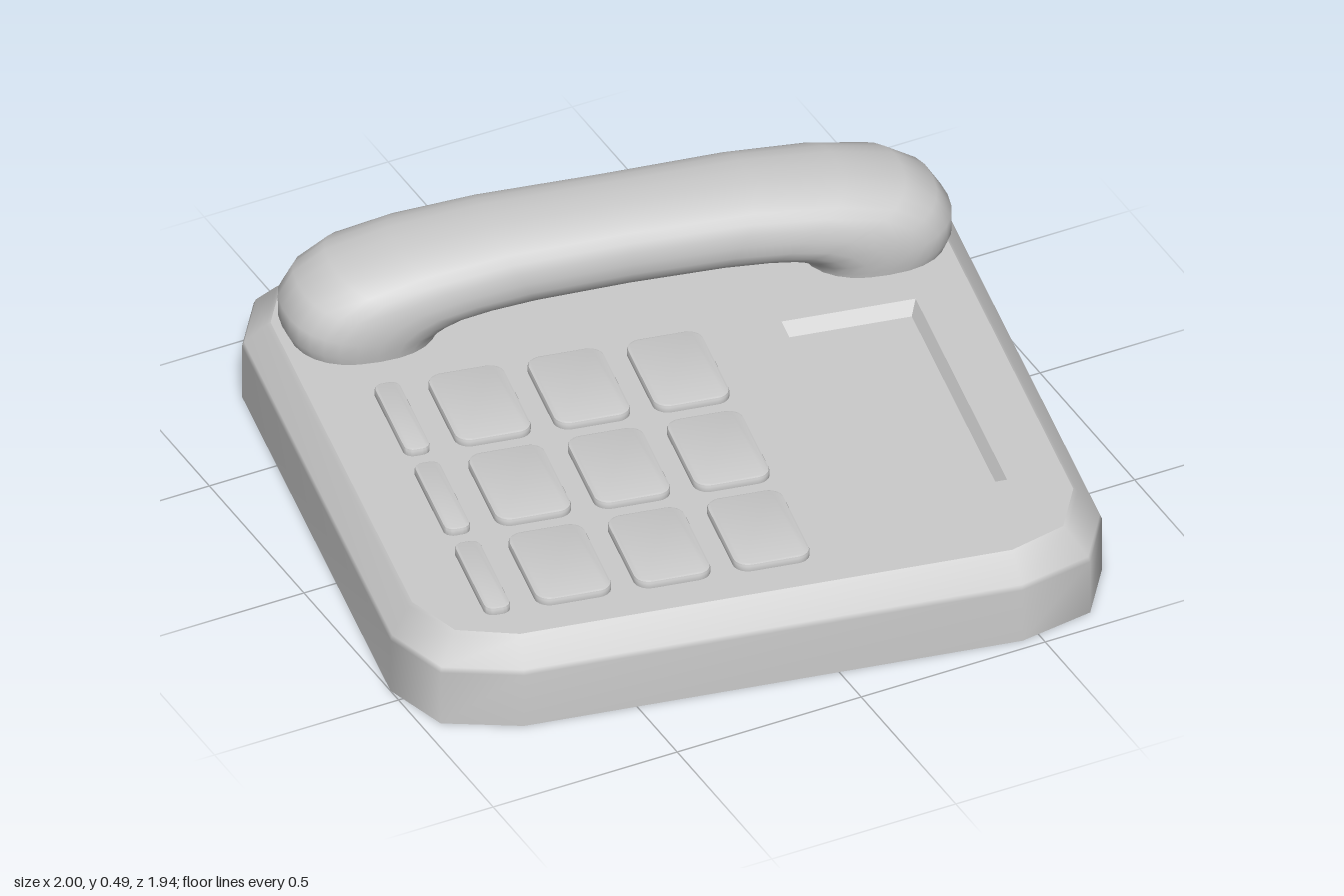
import * as THREE from 'three';
import { toCreasedNormals } from 'three/addons/utils/BufferGeometryUtils.js';

const material = new THREE.MeshStandardMaterial({ color: 0xcccccc, side: THREE.DoubleSide });
const TOP = 0.23;

// Skin over closed rings of [x, y, z] points
function loft(rings) {
  const n = rings[0].length, index = [];
  for (let i = 0; i < rings.length - 1; i++) {
    for (let j = 0; j < n; j++) {
      const k = (j + 1) % n, a = i * n, b = a + n;
      index.push(a + j, a + k, b + k, a + j, b + k, b + j);
    }
  }
  const geo = new THREE.BufferGeometry();
  geo.setAttribute('position', new THREE.Float32BufferAttribute(rings.flat(2), 3));
  geo.setIndex(index);
  geo.computeVertexNormals();
  return geo;
}

// Twelve-sided outline with softened corners, counter-clockwise in (x, -z)
function outline(corner) {
  const back = [...corner].reverse();
  return [
    ...corner,
    ...back.map(([x, y]) => [-x, y]),
    ...corner.map(([x, y]) => [-x, -y]),
    ...back.map(([x, y]) => [x, -y]),
  ];
}

const ring = (pts, y) => pts.map(([x, d]) => [x, y, -d]);
const shapeOf = (pts) => new THREE.Shape(pts.map(([x, y]) => new THREE.Vector2(x, y)));
const rect = (x0, x1, d0, d1) => [[x0, d0], [x1, d0], [x1, d1], [x0, d1]];

function roundedRect(w, d, r) {
  const s = new THREE.Shape(), x = w / 2 - r, y = d / 2 - r;
  s.absarc(x, y, r, 0, Math.PI / 2);
  s.absarc(-x, y, r, Math.PI / 2, Math.PI);
  s.absarc(-x, -y, r, Math.PI, Math.PI * 1.5);
  s.absarc(x, -y, r, Math.PI * 1.5, Math.PI * 2);
  return s;
}

function keyGeometry(w, d, r) {
  const bevel = 0.006;
  const geo = new THREE.ExtrudeGeometry(roundedRect(w - 2 * bevel, d - 2 * bevel, r), {
    depth: 0.022, bevelEnabled: true, bevelSize: bevel, bevelThickness: bevel,
    bevelSegments: 2, curveSegments: 4,
  });
  geo.rotateX(-Math.PI / 2);
  return toCreasedNormals(geo, 0.6);
}

// Handset half profile: outer x, outer y, inner x, inner y, half width
const handsetProfile = [
  [0.82, 0.222, 0.46, 0.222, 0.168],
  [0.838, 0.26, 0.455, 0.236, 0.174],
  [0.838, 0.315, 0.44, 0.25, 0.18],
  [0.80, 0.378, 0.41, 0.262, 0.182],
  [0.72, 0.43, 0.37, 0.27, 0.18],
  [0.56, 0.466, 0.31, 0.273, 0.174],
  [0.33, 0.488, 0.22, 0.273, 0.165],
  [0, 0.49, 0, 0.273, 0.158],
];

function handsetGeometry() {
  const left = handsetProfile.map(([ox, oy, ix, iy, h]) => [-ox, oy, -ix, iy, h]);
  const right = handsetProfile.slice(0, -1).reverse();
  const squarish = (v) => Math.sign(v) * Math.abs(v) ** 0.84;
  const rings = [...left, ...right].map(([ox, oy, ix, iy, h]) => {
    const cx = (ox + ix) / 2, cy = (oy + iy) / 2, pts = [];
    for (let j = 0; j < 28; j++) {
      const t = (j / 28) * Math.PI * 2, c = squarish(Math.cos(t)), s = squarish(Math.sin(t));
      pts.push([cx + (ox - cx) * c, cy + (oy - cy) * c, h * s]);
    }
    return pts;
  });
  return loft(rings);
}

export function createModel() {
  const model = new THREE.Group();
  model.name = 'deskTelephone';
  const phone = new THREE.Group();
  phone.name = 'turnedPhone';
  phone.rotation.y = -0.189;
  model.add(phone);

  const add = (name, geo, x = 0, y = 0, z = 0, parent = phone) => {
    const mesh = new THREE.Mesh(geo, material);
    mesh.name = name;
    mesh.position.set(x, y, z);
    parent.add(mesh);
    return mesh;
  };

  // Hollow base: upright walls, sloped rim, open underneath
  const outer = outline([[0.896, 0.637], [0.818, 0.801], [0.628, 0.868]]);
  const inner = outline([[0.833, 0.605], [0.766, 0.747], [0.62, 0.807]]);
  const between = (f) => outer.map(([x, d], i) =>
    [x + (inner[i][0] - x) * f, d + (inner[i][1] - d) * f]);
  add('baseShell', loft([
    ring(outer, 0), ring(outer, 0.15), ring(between(0.08), 0.163),
    ring(between(0.85), 0.222), ring(inner, TOP),
  ]));

  // Top panel with an opening for the card window
  const rim = rect(0.352, 0.69, -0.524, 0.26);
  const panel = shapeOf(inner);
  panel.holes.push(shapeOf(rim));
  add('topPanel', new THREE.ShapeGeometry(panel).rotateX(-Math.PI / 2), 0, TOP);

  // Sunken card window
  const sunk = rect(0.362, 0.672, -0.508, 0.232);
  const floorY = TOP - 0.03;
  const windowGroup = new THREE.Group();
  windowGroup.name = 'cardWindow';
  phone.add(windowGroup);
  add('windowWalls', toCreasedNormals(loft([ring(rim, TOP), ring(sunk, floorY)]), 0.3),
    0, 0, 0, windowGroup);
  add('windowFloor', new THREE.ShapeGeometry(shapeOf(sunk)).rotateX(-Math.PI / 2),
    0, floorY, 0, windowGroup);

  // Keypad: three rows of three keys plus a narrow side key
  const keypad = new THREE.Group();
  keypad.name = 'keypad';
  phone.add(keypad);
  const wideKey = keyGeometry(0.192, 0.29, 0.032);
  const narrowKey = keyGeometry(0.066, 0.29, 0.018);
  for (let row = 0; row < 3; row++) {
    const z = -0.118 + row * 0.344;
    add('sideKey', narrowKey, -0.645, 0.222, z, keypad);
    for (let col = 0; col < 3; col++) {
      add('key', wideKey, -0.45 + col * 0.25, 0.222, z, keypad);
    }
  }

  // Handset resting across the back
  add('handset', handsetGeometry(), 0.015, 0, -0.542);

  return model;
}
